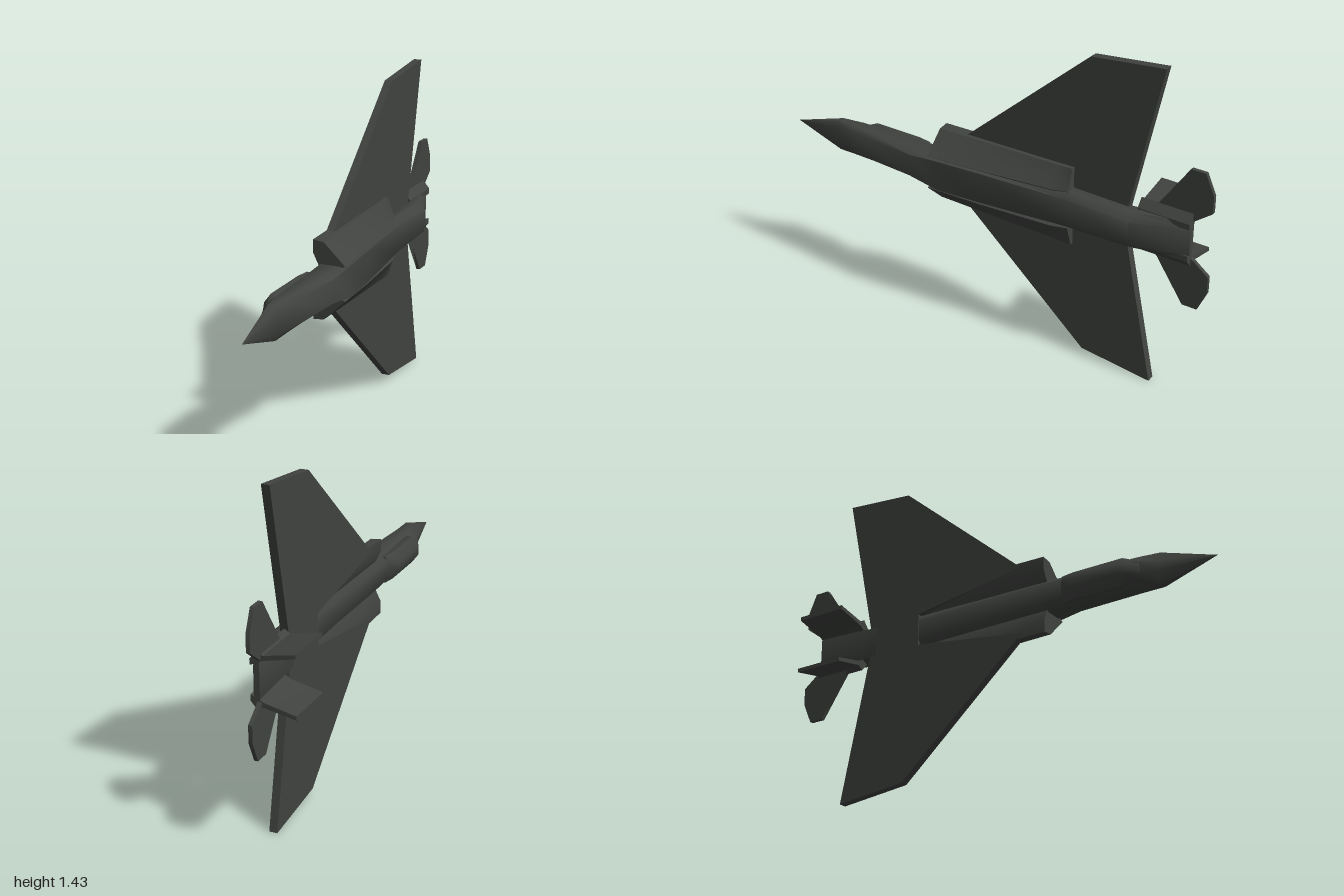
import * as THREE from 'three';
import { toCreasedNormals } from 'three/addons/utils/BufferGeometryUtils.js';

const material = new THREE.MeshStandardMaterial({ color: 0x404340 });

// Joins equal-length convex cross-sections into a closed solid that faces outward.
function loft(name, sections, crease = 0.5) {
  const n = sections[0].length, tris = [];
  for (let s = 0; s < sections.length - 1; s++) {
    const a = sections[s], b = sections[s + 1];
    for (let i = 0; i < n; i++) {
      const j = (i + 1) % n;
      tris.push([a[i], a[j], b[j]], [a[i], b[j], b[i]]);
    }
  }
  const first = sections[0], last = sections[sections.length - 1];
  for (let i = 1; i < n - 1; i++) {
    tris.push([first[0], first[i + 1], first[i]], [last[0], last[i], last[i + 1]]);
  }
  let volume = 0;
  const v = (p) => new THREE.Vector3(...p);
  for (const [a, b, c] of tris) volume += v(a).dot(v(b).cross(v(c)));
  const points = tris.flatMap((t) => (volume < 0 ? [t[0], t[2], t[1]] : t)).flat();
  const geometry = new THREE.BufferGeometry();
  geometry.setAttribute('position', new THREE.Float32BufferAttribute(points, 3));
  const mesh = new THREE.Mesh(toCreasedNormals(geometry, crease), material);
  mesh.name = name;
  return mesh;
}

// Flat plate from a (z, y) outline, thick along x.
const plate = (name, outline, x0, x1) =>
  loft(name, [x0, x1].map((x) => outline.map(([z, y]) => [x, y, z])));

// Symmetric eight-sided body section: top, upper side, lower side, bottom.
const ring = ([z, xTop, wTop, xUpper, xLower, w, xBottom, wBottom]) => {
  const half = [[xTop, wTop], [xUpper, w], [xLower, w], [xBottom, wBottom]];
  return [
    ...half.map(([x, y]) => [x, y, z]),
    ...half.reverse().map(([x, y]) => [x, -y, z]),
  ];
};

export function createModel() {
  const model = new THREE.Group();
  model.name = 'jet';
  const plane = new THREE.Group();
  plane.name = 'airframe';
  plane.position.y = 0.72;
  model.add(plane);

  // The jet lies on its side: nose to +z, belly to +x, wings along y.
  plane.add(loft('fuselage', [
    [1.00, 0.09, 0, 0.09, 0.09, 0, 0.09, 0],
    [0.76, 0.04, 0.02, 0.07, 0.10, 0.07, 0.115, 0.045],
    [0.66, 0.005, 0.03, 0.055, 0.10, 0.07, 0.122, 0.05],
    [0.35, 0.01, 0.04, 0.045, 0.11, 0.07, 0.145, 0.05],
    [0.20, 0.008, 0.045, 0.04, 0.12, 0.072, 0.155, 0.068],
    [0.00, 0.008, 0.045, 0.04, 0.11, 0.075, 0.14, 0.068],
    [-0.40, 0.008, 0.045, 0.04, 0.075, 0.085, 0.105, 0.06],
    [-0.69, 0.004, 0.07, 0.03, 0.07, 0.08, 0.105, 0.05],
    [-0.92, -0.005, 0.075, 0.0, 0.01, 0.085, 0.02, 0.06],
  ].map(ring), 0.9));

  // Canopy
  plane.add(loft('canopy', [
    [0.69, 0.012, 0.015, 0.02, 0.05, 0.03, 0.06, 0.02],
    [0.62, -0.02, 0.02, 0.01, 0.04, 0.06, 0.06, 0.04],
    [0.39, -0.02, 0.02, 0.01, 0.04, 0.06, 0.06, 0.04],
    [0.33, 0.01, 0.03, 0.02, 0.04, 0.06, 0.06, 0.04],
  ].map(ring), 0.9));

  // Deck joining the wing roots behind the spine
  plane.add(plate('wingDeck', [[-0.39, -0.13], [-0.39, 0.13], [-0.65, 0.08], [-0.65, -0.08]], 0.005, 0.04));

  for (const [side, s] of [['upper', 1], ['lower', -1]]) {
    const flip = (outline) => outline.map(([z, y]) => [z, y * s]);

    // Wing
    plane.add(plate(side + 'Wing', flip([
      [0.14, 0.15], [-0.46, 0.68], [-0.785, 0.715], [-0.65, 0.07], [-0.4, 0.07],
    ]), 0.005, 0.04));

    // Tailplane
    plane.add(plate(side + 'Tailplane', flip([
      [-0.74, 0.08], [-0.82, 0.125], [-0.895, 0.31], [-0.96, 0.31],
      [-1, 0.22], [-1, 0.145], [-0.915, 0.08],
    ]), -0.012, 0.005));

    // Side air duct, tapering backward along the body
    const duct = (z, outer, bottom, inner) => [
      [0.008, 0.115], [0.008, outer], [0.055, outer - 0.005],
      [bottom, inner], [bottom - 0.04, 0.05], [0.04, 0.05],
    ].map(([x, y]) => [x, y * s, z]);
    plane.add(loft(side + 'AirDuct', [
      duct(0.25, 0.17, 0.15, 0.075),
      duct(0, 0.175, 0.135, 0.08),
      duct(-0.33, 0.18, 0.105, 0.085),
      duct(-0.4, 0.182, 0.085, 0.085),
    ]));

    // Canted fin with a wider foot
    const fin = (x, y0, y1) => [
      [x, y0 * s, -0.69], [x, y1 * s, -0.69], [x, y1 * s, -0.92], [x, y0 * s, -0.92],
    ];
    plane.add(loft(side + 'Fin', [
      fin(0.035, 0.06, 0.085), fin(0.005, 0.07, 0.12), fin(-0.02, 0.085, 0.105), fin(-0.155, 0.115, 0.132),
    ]));
  }
  return model;
}
